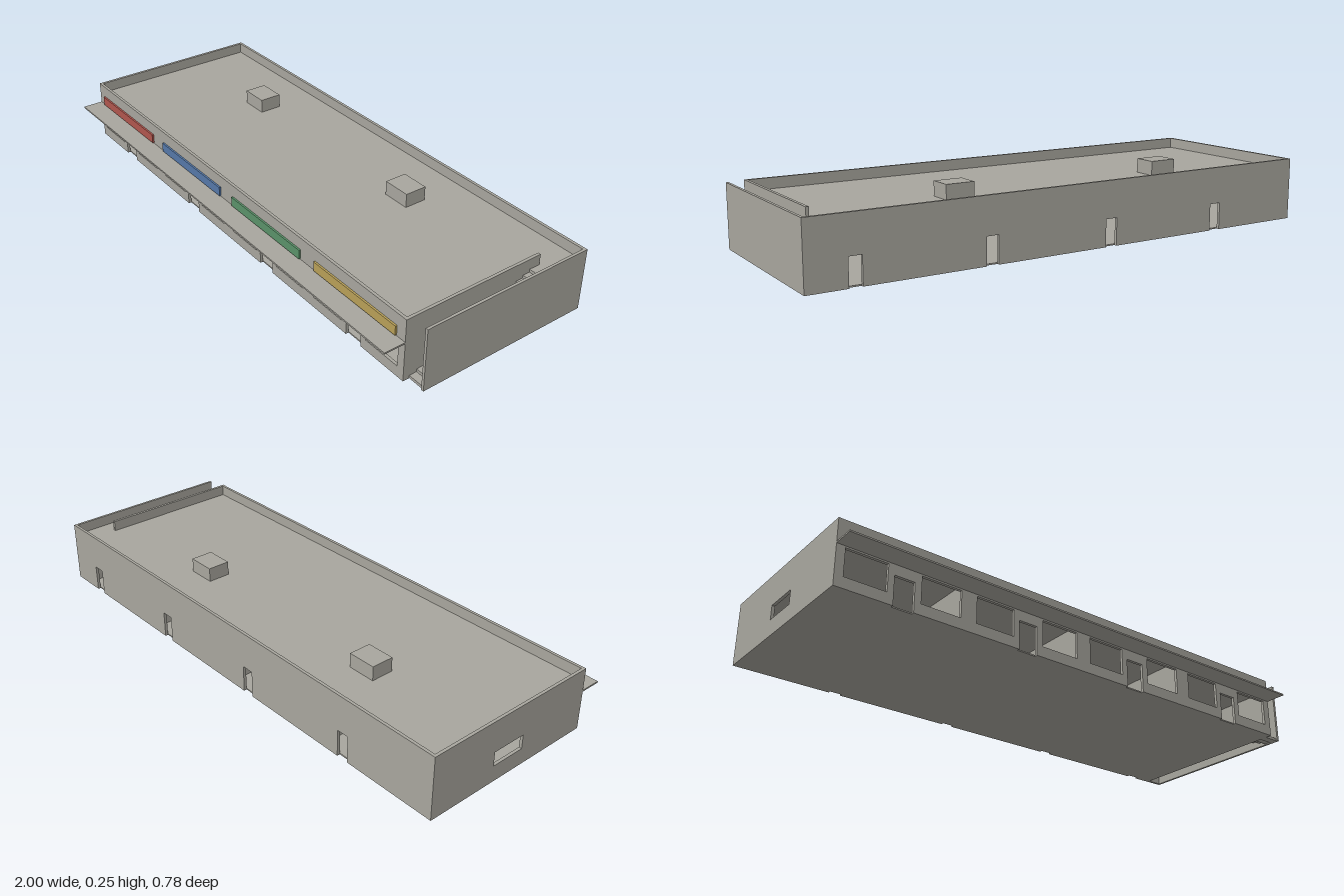
import * as THREE from 'three';

const X0 = -1, X1 = 0.93, Z0 = -0.39, Z1 = 0.31; // building footprint
const H = 0.235, ROOF = 0.195, T = 0.011, UNIT = (X1 - X0) / 4;

const material = (name, color) => Object.assign(new THREE.MeshStandardMaterial({ color }), { name });

export function createModel() {
  const model = new THREE.Group();
  const grey = material('concrete grey', 0xa8a69e);
  const signs = [
    material('sign red', 0xb0564e), material('sign blue', 0x5578a8),
    material('sign green', 0x5a9269), material('sign yellow', 0xb8a058),
  ];

  const add = (name, geometry, mat = grey) => {
    const mesh = new THREE.Mesh(geometry, mat);
    mesh.name = name;
    model.add(mesh);
    return mesh;
  };

  // Box given by its lower and upper bounds on each axis
  const box = (name, xa, xb, ya, yb, za, zb, mat) => {
    const mesh = add(name, new THREE.BoxGeometry(xb - xa, yb - ya, zb - za), mat);
    mesh.position.set((xa + xb) / 2, (ya + yb) / 2, (za + zb) / 2);
    return mesh;
  };

  // Upright wall along its own x: doors [a, b, top] notch the foot, windows [a, b, sill, head] are holes
  const wall = (name, a, b, doors, windows) => {
    const shape = new THREE.Shape();
    shape.moveTo(a, 0);
    for (const [da, db, top] of doors) {
      shape.lineTo(da, 0);
      shape.lineTo(da, top);
      shape.lineTo(db, top);
      shape.lineTo(db, 0);
    }
    shape.lineTo(b, 0);
    shape.lineTo(b, H);
    shape.lineTo(a, H);
    for (const [wa, wb, sill, head] of windows) {
      const hole = new THREE.Path();
      hole.moveTo(wa, sill);
      hole.lineTo(wa, head);
      hole.lineTo(wb, head);
      hole.lineTo(wb, sill);
      hole.closePath();
      shape.holes.push(hole);
    }
    return add(name, new THREE.ExtrudeGeometry(shape, { depth: T, bevelEnabled: false }));
  };

  // Openings repeated for each of the four shops
  const centres = [0, 1, 2, 3].map((i) => X0 + UNIT * (i + 0.5));
  const frontDoors = centres.map((c) => [c - 0.037, c + 0.037, 0.107]);
  const frontWindows = centres.flatMap((c) => [-0.135, 0.137].map((o) => [c + o - 0.075, c + o + 0.075, 0.04, 0.139]));
  const backDoors = centres.map((c) => [c + 0.122, c + 0.168, 0.1]);

  wall('frontWall', X0, X1, frontDoors, frontWindows).position.z = Z1 - T;
  wall('backWall', X0, 1, backDoors, []).position.z = Z0;

  // Right end wall, with one small window
  const sideWall = wall('rightWall', Z0 + T, Z1 - T, [], [[-0.117, 0.016, 0.062, 0.115]]);
  sideWall.rotation.y = -Math.PI / 2;
  sideWall.position.x = X0 + T;

  // Left end wall, lowered at the stair landing to give access to the roof
  box('leftWall', X1 - T, X1, 0, ROOF, Z0 + T, Z1 - T);
  box('leftParapet', X1 - T, X1, ROOF, H, -0.25, Z1 - T);

  // Floor, roof and party walls
  box('floor', X0 + T, X1 - T, 0, 0.005, Z0 + T, Z1 - T);
  box('roof', X0 + T, X1 - T, ROOF - 0.01, ROOF, Z0 + T, Z1 - T);
  for (let i = 1; i < 4; i++) {
    const x = X0 + UNIT * i;
    box('partyWall', x - 0.004, x + 0.004, 0.005, ROOF - 0.01, Z0 + T, Z1 - T);
  }

  // Canopy over the shopfronts and a coloured sign for each shop
  box('canopy', X0, X1, 0.145, 0.151, Z1, 0.39);
  centres.forEach((c, i) => box('sign', c - 0.202, c + 0.202, 0.155, 0.19, Z1, Z1 + 0.007, signs[i]));

  // Rooftop units
  for (const x of [-0.508, 0.37]) {
    box('rooftopUnit', x - 0.054, x + 0.054, ROOF, 0.248, -0.214, -0.128);
  }

  // Open outside stair rising from front to back, with landing and outer wall
  box('stairOuterWall', 0.99, 1, 0, H, Z0 + T, 0.29);
  const steps = 18, front = 0.285, landing = -0.235;
  const run = (front - landing) / steps, rise = ROOF / steps;
  for (let i = 0; i < steps; i++) {
    const z = front - i * run;
    box('stairStep', X1, 0.99, Math.max(0, (i - 0.6) * rise), (i + 1) * rise, z - run, z);
  }
  box('stairLanding', X1, 0.99, ROOF - 0.01, ROOF, Z0 + T, landing);

  return model;
}
